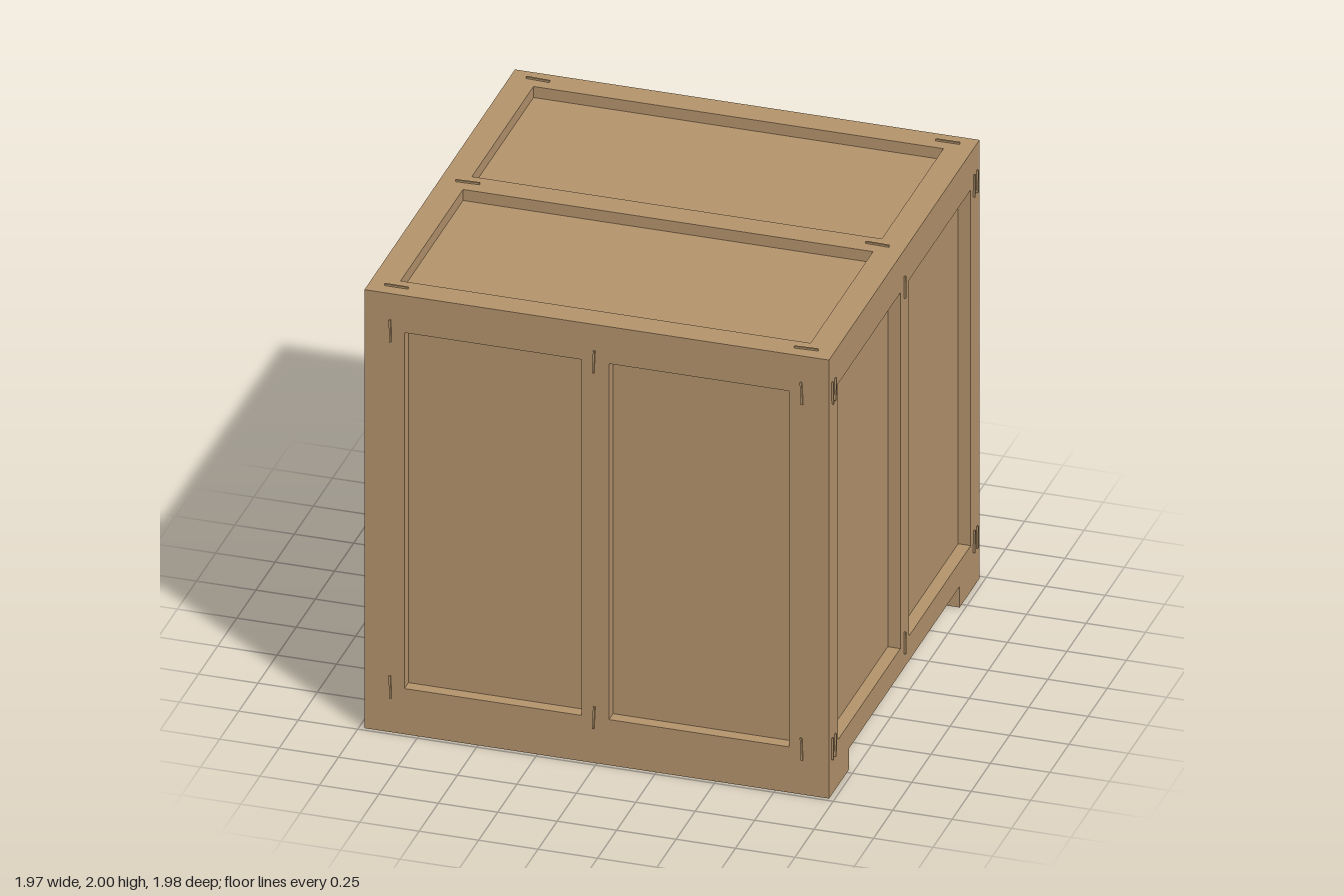
import * as THREE from 'three';

const HX = 0.977, HZ = 0.983;          // outer half width and depth
const T = 0.053;                       // board thickness
const W = 0.115;                       // board width
const Y0 = 0.095, Y1 = 1.94, TOP = 1.99;
const RAIL_LOW = 0.207, RAIL_HIGH = 1.822;
const MID = -0.006;                    // centre battens sit slightly off centre

export function createModel() {
  const crate = new THREE.Group();
  crate.name = 'woodenCrate';
  const wood = new THREE.MeshStandardMaterial({ color: 0xb4946c });

  // Axis-aligned board given by its limits
  const board = (name, x0, x1, y0, y1, z0, z1) => {
    const mesh = new THREE.Mesh(new THREE.BoxGeometry(x1 - x0, y1 - y0, z1 - z0), wood);
    mesh.position.set((x0 + x1) / 2, (y0 + y1) / 2, (z0 + z1) / 2);
    mesh.name = name;
    crate.add(mesh);
    return mesh;
  };
  // Board lying against one side, mirrored by the sign s
  const xBoard = (name, s, a, b, y0, y1, z0, z1) =>
    board(name, Math.min(s * a, s * b), Math.max(s * a, s * b), y0, y1, z0, z1);
  const zBoard = (name, s, a, b, x0, x1, y0, y1) =>
    board(name, x0, x1, y0, y1, Math.min(s * a, s * b), Math.max(s * a, s * b));

  // Plywood box behind the frames
  const ix = HX - T, iz = HZ - T;
  board('panelBox', -ix, ix, Y0 + 0.04, Y1, -iz, iz);

  for (const s of [1, -1]) {
    // Side frames: full-depth rails with stiles between them
    xBoard('sideTopRail', s, ix, HX, RAIL_HIGH, Y1, -HZ, HZ);
    xBoard('sideBottomRail', s, ix, HX, Y0, RAIL_LOW, -HZ, HZ);
    for (const c of [-HZ + W / 2, MID, HZ - W / 2])
      xBoard('sideStile', s, ix, HX, RAIL_LOW, RAIL_HIGH, c - W / 2, c + W / 2);

    // Front and back frames fit between the side frames
    zBoard('endTopRail', s, iz, HZ, -ix, ix, RAIL_HIGH, Y1);
    zBoard('endBottomRail', s, iz, HZ, -ix, ix, Y0, RAIL_LOW);
    for (const c of [-ix + W / 2, MID, ix - W / 2])
      zBoard('endStile', s, iz, HZ, c - W / 2, c + W / 2, RAIL_LOW, RAIL_HIGH);

    // Lid frame
    xBoard('lidSideBoard', s, HX - W, HX, Y1, TOP, -HZ, HZ);
    zBoard('lidEndBoard', s, HZ - W, HZ, -HX + W, HX - W, Y1, TOP);

    // Ground runners
    zBoard('runner', s, 0.723, HZ, -HX, HX, 0, Y0);
  }
  board('lidCentreBatten', -HX + W, HX - W, Y1, TOP, MID - W / 2, MID + W / 2);
  board('floorCentreBatten', -ix, ix, Y0 + 0.005, Y0 + 0.04, MID - W / 2, MID + W / 2);

  // Thin staples bridging the joints, each tilted a little
  const L = 0.1, P = 0.008, N = 0.004;
  let i = 0;
  const tilt = () => Math.sin(++i * 2.4) * 0.05;
  for (const s of [1, -1]) {
    for (const y of [RAIL_LOW, RAIL_HIGH]) {
      for (const x of [-0.868, -0.012, 0.862])
        zBoard('endStaple', s, HZ - 0.02, HZ + P, x - N, x + N, y - L / 2, y + L / 2).rotation.z = tilt();
      for (const z of [-0.945, -0.905, 0, 0.91, 0.945])
        xBoard('sideStaple', s, HX - 0.02, HX + P, y - L / 2, y + L / 2, z - N, z + N).rotation.x = tilt();
    }
    for (const z of [-0.925, -0.008, 0.922])
      xBoard('lidStaple', s, HX - W - L / 2, HX - W + L / 2, TOP - 0.02, TOP + P, z - N, z + N).rotation.y = tilt();
  }
  return crate;
}
